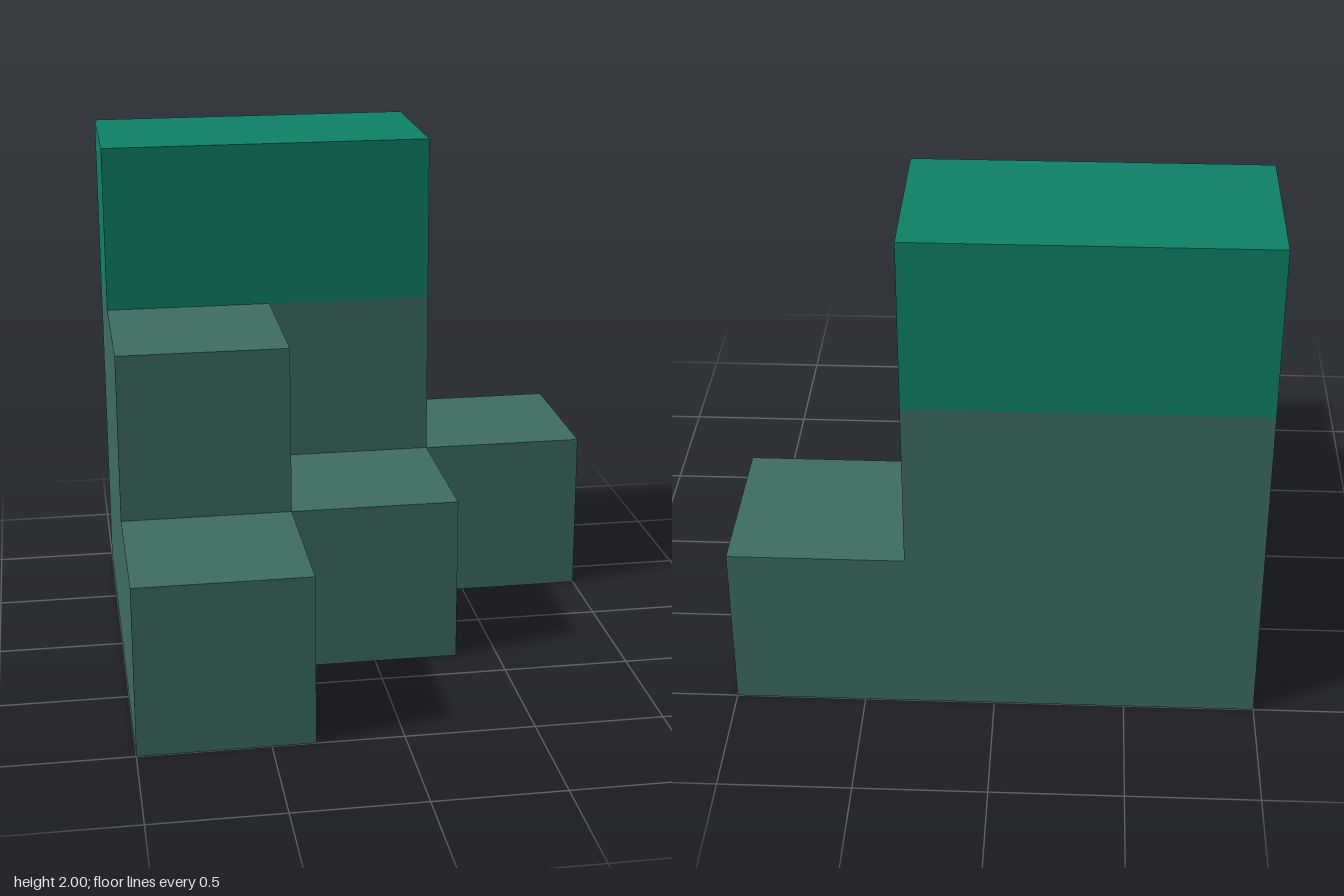
import * as THREE from 'three';

const UNIT = 2 / 3; // edge of one cube cell

export function createModel() {
  const body = new THREE.MeshStandardMaterial({ color: 0x3e6d63 });
  body.name = 'greyGreen';
  const accent = new THREE.MeshStandardMaterial({ color: 0x0d8268 });
  accent.name = 'brightGreen';

  const group = new THREE.Group();
  group.name = 'steppedBlocks';

  // One layer of cells; rows lists the cells per row, from the back row forwards
  function addLayer(name, rows, level, material) {
    const shape = new THREE.Shape();
    shape.moveTo(-1, 1);
    shape.lineTo(-1, 1 - rows.length * UNIT);
    for (let i = rows.length - 1; i >= 0; i--) {
      const x = -1 + rows[i] * UNIT;
      shape.lineTo(x, 1 - (i + 1) * UNIT);
      shape.lineTo(x, 1 - i * UNIT);
    }
    shape.closePath();
    const geometry = new THREE.ExtrudeGeometry(shape, { depth: UNIT, bevelEnabled: false });
    geometry.rotateX(-Math.PI / 2); // lay flat, back row towards -z
    const mesh = new THREE.Mesh(geometry, material);
    mesh.name = name;
    mesh.position.y = level * UNIT;
    group.add(mesh);
  }

  addLayer('baseLayer', [3, 2, 1], 0, body);
  addLayer('middleLayer', [2, 1], 1, body);
  addLayer('topBlock', [2], 2, accent);

  return group;
}
